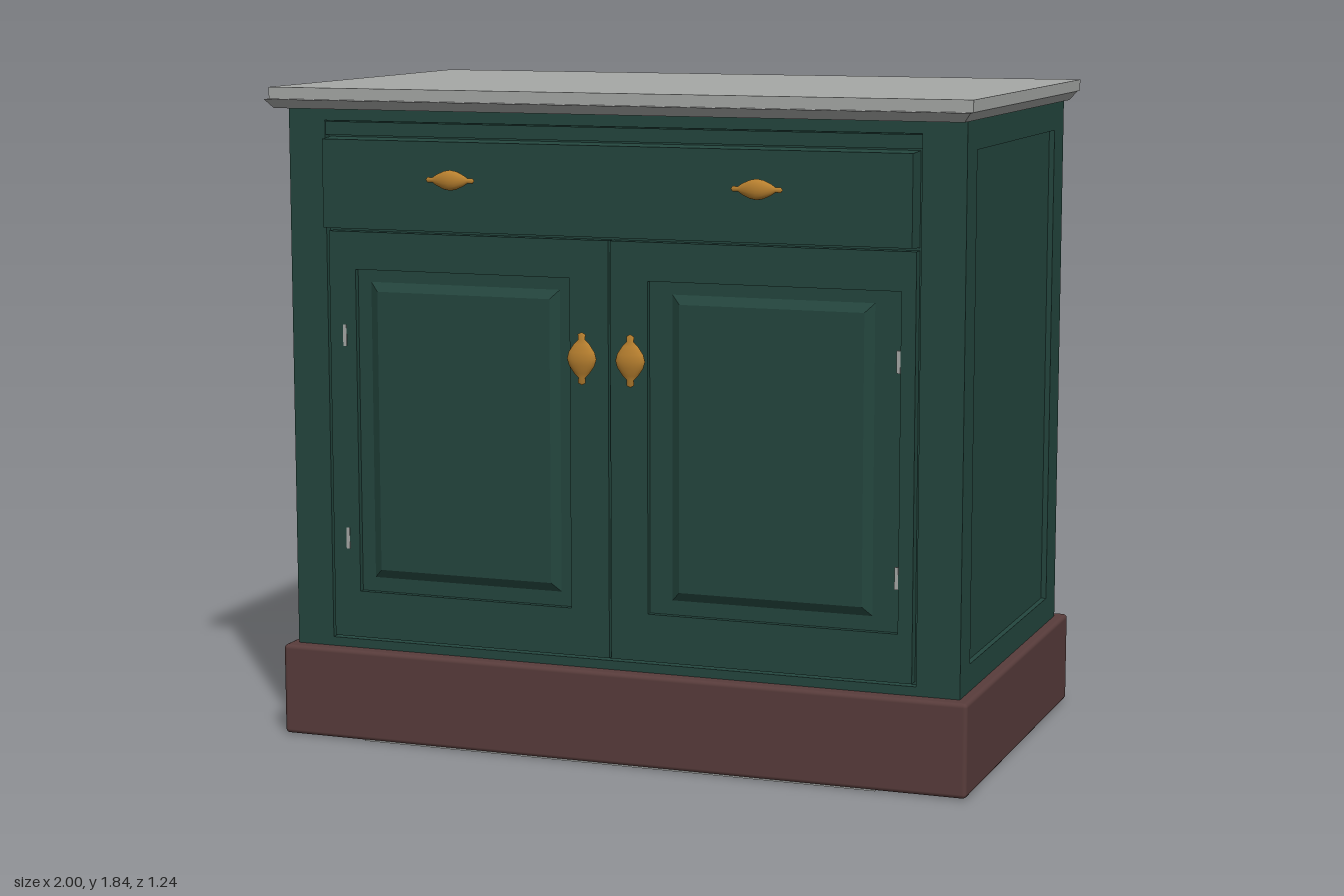
import * as THREE from 'three';
import { RoundedBoxGeometry } from 'three/addons/geometries/RoundedBoxGeometry.js';

const mat = (name, color) => {
  const m = new THREE.MeshStandardMaterial({ color });
  m.name = name;
  return m;
};

export function createModel() {
  const green = mat('green paint', 0x24463e);
  const brown = mat('brown plinth', 0x583c3b);
  const grey = mat('grey stone', 0xa6a8a6);
  const brass = mat('brass', 0xb8802f);

  const root = new THREE.Group();
  root.name = 'cabinet';
  const add = (name, geo, material, parent = root) => {
    const m = new THREE.Mesh(geo, material);
    m.name = name;
    parent.add(m);
    return m;
  };

  // Box from min and max corners
  const box = (x0, x1, y0, y1, z0, z1) =>
    new THREE.BoxGeometry(x1 - x0, y1 - y0, z1 - z0)
      .translate((x0 + x1) / 2, (y0 + y1) / 2, (z0 + z1) / 2);

  // Box whose +z face is drawn in by an inset, giving sloped sides
  const raised = (x0, x1, y0, y1, z0, z1, inset) => {
    const g = new THREE.BoxGeometry(x1 - x0, y1 - y0, z1 - z0);
    const p = g.attributes.position;
    for (let i = 0; i < p.count; i++) {
      if (p.getZ(i) > 0) {
        p.setX(i, p.getX(i) - Math.sign(p.getX(i)) * inset);
        p.setY(i, p.getY(i) - Math.sign(p.getY(i)) * inset);
      }
    }
    g.computeVertexNormals();
    return g.translate((x0 + x1) / 2, (y0 + y1) / 2, (z0 + z1) / 2);
  };

  // Flat rectangular frame with an opening, extruded along z
  const trace = (path, [x0, x1, y0, y1]) =>
    path.moveTo(x0, y0).lineTo(x1, y0).lineTo(x1, y1).lineTo(x0, y1).closePath();
  const frame = (outer, hole, z0, z1) => {
    const s = trace(new THREE.Shape(), outer);
    s.holes.push(trace(new THREE.Path(), hole));
    return new THREE.ExtrudeGeometry(s, { depth: z1 - z0, bevelEnabled: false }).translate(0, 0, z0);
  };

  // Plinth and its underside
  add('plinth', new RoundedBoxGeometry(2, 0.258, 1.16, 2, 0.012).translate(0, 0.131, -0.01), brown);
  add('underside', box(-0.75, 0.75, 0, 0.006, -0.585, 0.565), grey);

  // Worktop: straight edge above a chamfered lower edge
  add('worktop', box(-1, 1, 1.805, 1.837, -0.62, 0.59), grey);
  add('worktopLowerEdge',
    raised(-1, 1, -0.59, 0.62, 0, 0.025, 0.02).rotateX(Math.PI / 2).translate(0, 1.805, 0), grey);

  // Carcass and face frame
  add('carcass', box(-0.955, 0.955, 0.255, 1.785, -0.545, 0.505), green);
  add('faceFrame', frame([-0.97, 0.97, 0.255, 1.785], [-0.86, 0.85, 0.285, 1.745], 0.5, 0.53), green);
  add('topRail', box(-0.86, 0.85, 1.705, 1.742, 0.5, 0.526), green);
  add('backRib', box(-0.84, 0.86, 0.882, 0.898, -0.551, -0.54), green);

  // Framed side panels
  for (const s of [1, -1]) {
    const hole = s > 0 ? [-0.43, 0.435, 0.335, 1.7] : [-0.435, 0.43, 0.335, 1.7];
    const outer = s > 0 ? [-0.5, 0.545, 0.255, 1.785] : [-0.545, 0.5, 0.255, 1.785];
    add(s > 0 ? 'leftSideFrame' : 'rightSideFrame',
      frame(outer, hole, 0.955, 0.97).rotateY(s * Math.PI / 2), green);
  }

  // Drawer front
  add('drawerFront', raised(-0.855, 0.84, 1.447, 1.7, 0.5, 0.567, 0.004), green);

  // Doors: frame, bed and raised field
  const door = (name, outer, hole, field) => {
    const g = new THREE.Group();
    g.name = name;
    root.add(g);
    add('doorFrame', frame(outer, hole, 0.5, 0.537), green, g);
    add('doorBed', box(...hole, 0.5, 0.52), green, g);
    add('doorField', raised(...field, 0.52, 0.535, 0.025), green, g);
  };
  door('rightDoor', [-0.85, -0.018, 0.293, 1.44], [-0.77, -0.13, 0.425, 1.335], [-0.73, -0.165, 0.465, 1.3]);
  door('leftDoor', [-0.012, 0.84, 0.293, 1.44], [0.095, 0.8, 0.425, 1.335], [0.16, 0.725, 0.465, 1.3]);

  // Hinge plates
  for (const x of [-0.805, 0.795])
    for (const y of [0.575, 1.15])
      add('hinge', box(x - 0.005, x + 0.005, y - 0.03, y + 0.03, 0.533, 0.5395), grey);

  // Turned spindle pulls with a central stem
  const spindle = [[0, -0.072], [0.009, -0.066], [0.008, -0.052], [0.018, -0.04], [0.03, -0.018],
    [0.034, 0], [0.03, 0.018], [0.018, 0.04], [0.008, 0.052], [0.009, 0.066], [0, 0.072]]
    .map(([r, y]) => new THREE.Vector2(r, y));
  const pull = (name, x, y, z, turn, width) => {
    const g = new THREE.Group();
    g.name = name;
    g.position.set(x, y, z);
    g.rotation.z = turn;
    root.add(g);
    add('grip', new THREE.LatheGeometry(spindle, 20).scale(width, 1, 0.5).translate(0, 0, 0.036), brass, g);
    add('stem', new THREE.CylinderGeometry(0.014, 0.022, 0.04, 16).rotateX(Math.PI / 2).translate(0, 0, 0.018), brass, g);
  };
  pull('drawerPull', -0.45, 1.595, 0.567, Math.PI / 2, 0.82);
  pull('drawerPull', 0.425, 1.595, 0.567, Math.PI / 2, 0.82);
  pull('doorPull', -0.082, 1.122, 0.534, 0, 1.25);
  pull('doorPull', 0.058, 1.122, 0.534, 0, 1.25);

  return root;
}
